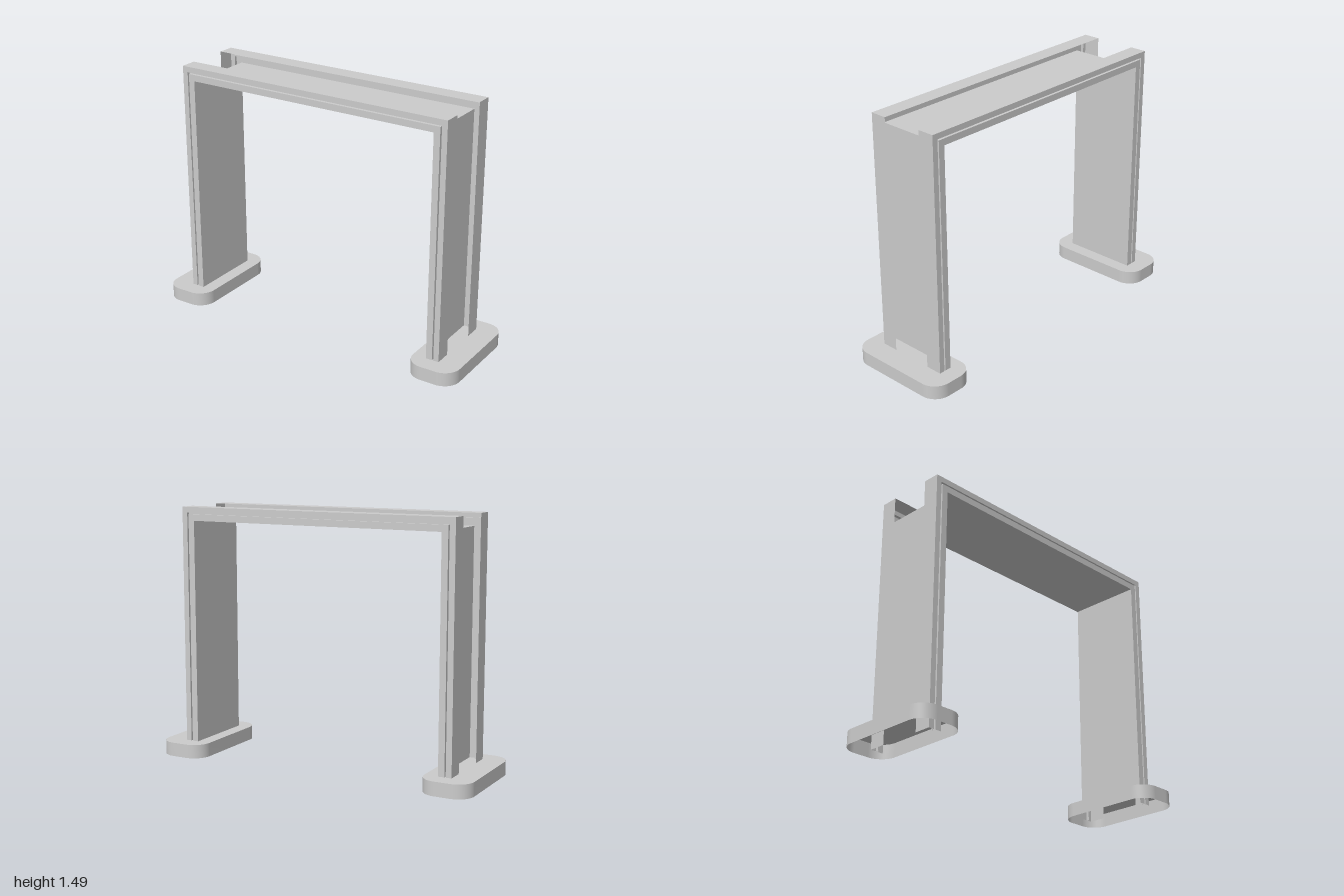
import * as THREE from 'three';

const HALF_W = 0.867, HEIGHT = 1.49, DEPTH = 0.08; // outer size and section depth of the gate
const BASE_X = 0.853, BASE_H = 0.082;

const material = new THREE.MeshStandardMaterial({ color: 0xcccccc, side: THREE.DoubleSide });

function part(name, geometry) {
  const mesh = new THREE.Mesh(geometry, material);
  mesh.name = name;
  return mesh;
}

// Sweeps a section of [inset, z] points up one leg, across the top and down the other.
function portalSheet(section, bottom) {
  const rows = section.map(([inset, z]) => {
    const x = HALF_W - inset, y = HEIGHT - inset;
    return [[-x, bottom, z], [-x, y, z], [x, y, z], [x, bottom, z]];
  });
  const pos = [];
  for (let i = 0; i + 1 < rows.length; i++) {
    for (let j = 0; j < 3; j++) {
      const a = rows[i][j], b = rows[i][j + 1], c = rows[i + 1][j + 1], d = rows[i + 1][j];
      pos.push(...a, ...d, ...b, ...b, ...d, ...c);
    }
  }
  const g = new THREE.BufferGeometry();
  g.setAttribute('position', new THREE.Float32BufferAttribute(pos, 3));
  g.computeVertexNormals();
  return g;
}

// Rounded rectangle outline of a foot
function footShape(hx, hz, r) {
  const s = new THREE.Shape();
  s.absarc(hx - r, hz - r, r, 0, Math.PI / 2);
  s.absarc(-hx + r, hz - r, r, Math.PI / 2, Math.PI);
  s.absarc(-hx + r, -hz + r, r, Math.PI, Math.PI * 1.5);
  s.absarc(hx - r, -hz + r, r, Math.PI * 1.5, Math.PI * 2);
  return s;
}

// Thin wall standing on the outline, open at the bottom
function footWall(shape) {
  const pts = shape.getPoints(12);
  if (pts[0].distanceTo(pts[pts.length - 1]) < 1e-6) pts.pop();
  const pos = [], index = [], n = pts.length;
  pts.forEach((p, i) => {
    pos.push(p.x, 0, -p.y, p.x, BASE_H, -p.y);
    const a = 2 * i, b = 2 * ((i + 1) % n);
    index.push(a, b, a + 1, b, b + 1, a + 1);
  });
  const g = new THREE.BufferGeometry();
  g.setAttribute('position', new THREE.Float32BufferAttribute(pos, 3));
  g.setIndex(index);
  g.computeVertexNormals();
  return g;
}

export function createModel() {
  const model = new THREE.Group();
  model.name = 'gate';

  // Thin lining of the passage, between the two frames
  model.add(part('innerPanel', portalSheet([[DEPTH, -0.226], [DEPTH, 0.226]], BASE_H)));

  // Front and back frames: outer rim folded into a grooved face, hollow behind
  for (const side of [1, -1]) {
    const section = [
      [0, 0.126], [0, 0.226], [0.033, 0.226], [0.033, 0.208],
      [0.042, 0.208], [0.042, 0.226], [DEPTH, 0.226],
    ].map(([inset, z]) => [inset, z * side]);
    model.add(part(side > 0 ? 'frontFrame' : 'backFrame', portalSheet(section, 0)));
  }

  // Hollow rounded feet
  const shape = footShape(0.147, 0.325, 0.1);
  for (const side of [1, -1]) {
    const foot = new THREE.Group();
    foot.name = side > 0 ? 'leftFoot' : 'rightFoot';
    const top = new THREE.ShapeGeometry(shape, 12);
    top.rotateX(-Math.PI / 2);
    top.translate(0, BASE_H, 0);
    foot.add(part('footTop', top), part('footWall', footWall(shape)));
    foot.position.x = side * BASE_X;
    model.add(foot);
  }
  return model;
}
